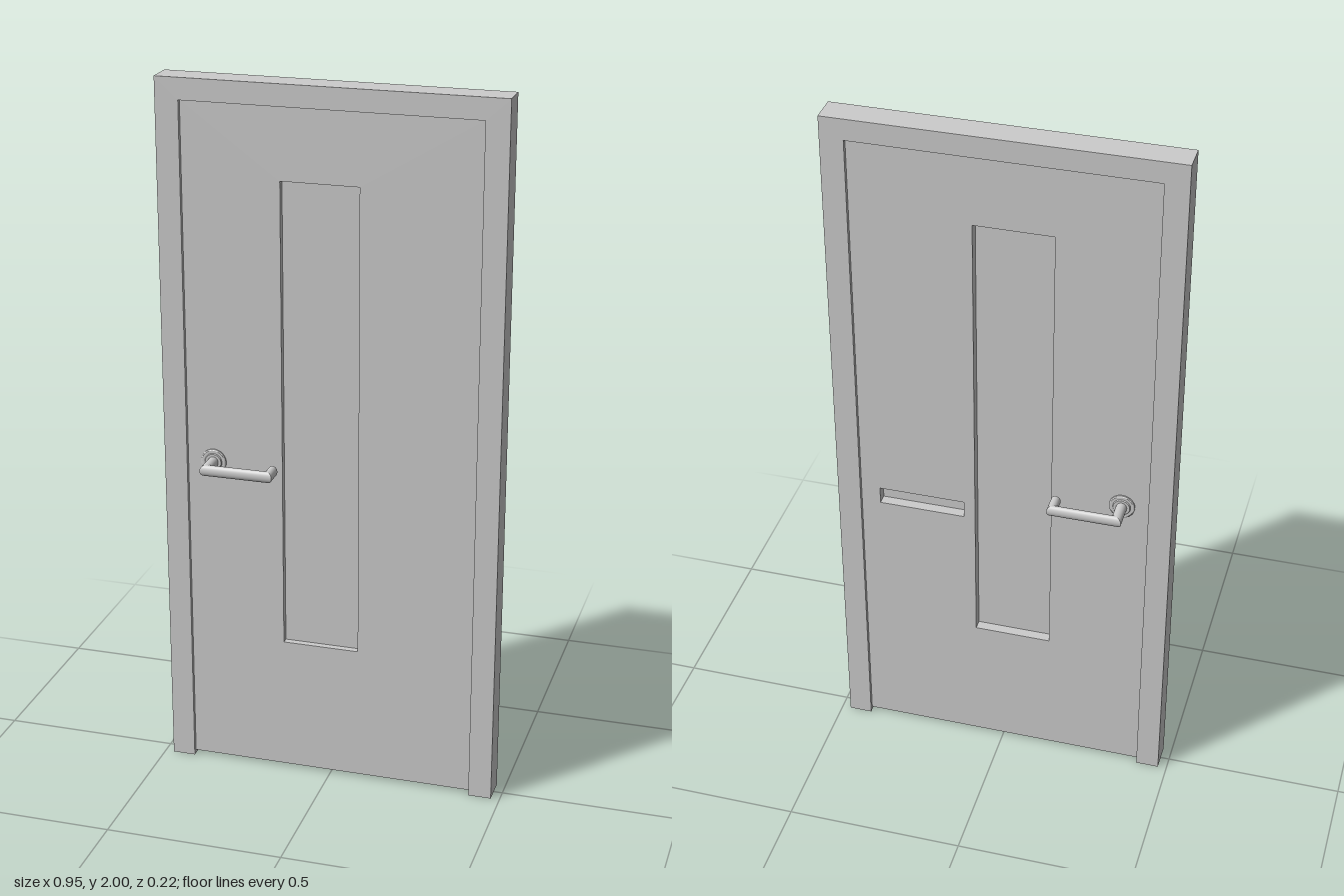
import * as THREE from 'three';
import { toCreasedNormals } from 'three/addons/utils/BufferGeometryUtils.js';

const material = new THREE.MeshStandardMaterial({ color: 0xcccccc });

function addMesh(parent, name, geometry, x = 0, y = 0, z = 0) {
  const mesh = new THREE.Mesh(geometry, material);
  mesh.name = name;
  mesh.position.set(x, y, z);
  parent.add(mesh);
  return mesh;
}

// Closed outline from [x, y] corners
function outline(points, Type = THREE.Shape) {
  return new Type(points.map(([x, y]) => new THREE.Vector2(x, y)));
}

const rect = (x0, y0, x1, y1) => [[x0, y0], [x1, y0], [x1, y1], [x0, y1]];

function slab(points, holes, depth) {
  const shape = outline(points);
  shape.holes = holes.map((h) => outline(h, THREE.Path));
  return new THREE.ExtrudeGeometry(shape, { depth, bevelEnabled: false });
}

// Straight elliptical bar between two oblique sections; each is { inner, outer } as [x, z]
function mitredBar(a, b, halfHeight, capped) {
  const N = 24, positions = [], index = [];
  const addRing = ({ inner, outer }) => {
    for (let i = 0; i < N; i++) {
      const t = (i / N) * Math.PI * 2;
      const k = 0.5 + 0.5 * Math.cos(t);
      positions.push(
        inner[0] + (outer[0] - inner[0]) * k,
        -halfHeight * Math.sin(t),
        inner[1] + (outer[1] - inner[1]) * k
      );
    }
  };
  addRing(a);
  addRing(b);
  for (let i = 0; i < N; i++) {
    const j = (i + 1) % N;
    index.push(i, j, N + i, j, N + j, N + i);
  }
  if (capped) {
    addRing(b);
    for (let i = 1; i < N - 1; i++) index.push(2 * N, 2 * N + i, 2 * N + i + 1);
  }
  const geometry = new THREE.BufferGeometry();
  geometry.setAttribute('position', new THREE.Float32BufferAttribute(positions, 3));
  geometry.setIndex(index);
  geometry.computeVertexNormals();
  return geometry;
}

const DOOR_Z = 0.028;

function createHandle(name) {
  const handle = new THREE.Group();
  handle.name = name;

  // Stepped round plate against the leaf
  const profile = [[0, 0], [0.036, 0], [0.036, 0.004], [0.033, 0.006], [0.025, 0.006], [0.023, 0.009], [0, 0.009]];
  const rosette = new THREE.LatheGeometry(profile.map(([r, h]) => new THREE.Vector2(r, h)), 32);
  rosette.rotateX(Math.PI / 2);
  addMesh(handle, 'rosette', toCreasedNormals(rosette, 0.5), -0.335, 0, DOOR_Z);

  // Lever: stem, grip and return, joined with mitred corners
  const sections = [
    { inner: [-0.32, DOOR_Z], outer: [-0.35, DOOR_Z] },
    { inner: [-0.32, 0.088], outer: [-0.35, 0.109] },
    { inner: [-0.17, 0.088], outer: [-0.143, 0.109] },
    { inner: [-0.17, 0.054], outer: [-0.143, 0.054] }
  ];
  ['stem', 'grip', 'returnEnd'].forEach((part, i) => {
    addMesh(handle, part, mitredBar(sections[i], sections[i + 1], 0.016, i === 2));
  });
  handle.position.y = 0.93;
  return handle;
}

export function createModel() {
  const model = new THREE.Group();
  model.name = 'door';

  // Frame: two jambs and a header in one piece
  const frame = [
    [-0.475, 0], [-0.41, 0], [-0.41, 1.94], [0.41, 1.94],
    [0.41, 0], [0.475, 0], [0.475, 2], [-0.475, 2]
  ];
  addMesh(model, 'frame', slab(frame, [], 0.08), 0, 0, -0.04);

  // Leaf: front layer with the window, back layer also with the slot recess
  const leaf = rect(-0.41, 0.01, 0.41, 1.94);
  const windowHole = rect(-0.137, 0.4, 0.08, 1.74);
  const slotHole = rect(0.112, 0.8, 0.356, 0.85);
  const split = 0.002;
  addMesh(model, 'leafFront', slab(leaf, [windowHole], DOOR_Z - split), 0, 0, split);
  addMesh(model, 'leafBack', slab(leaf, [windowHole, slotHole], DOOR_Z + split), 0, 0, -DOOR_Z);

  // Window pane
  addMesh(model, 'windowPane', new THREE.BoxGeometry(0.217, 1.34, 0.008), -0.0285, 1.07, 0.005);

  // Lever handles on both faces
  const back = createHandle('backHandle');
  back.rotation.x = Math.PI;
  model.add(createHandle('frontHandle'), back);

  return model;
}
